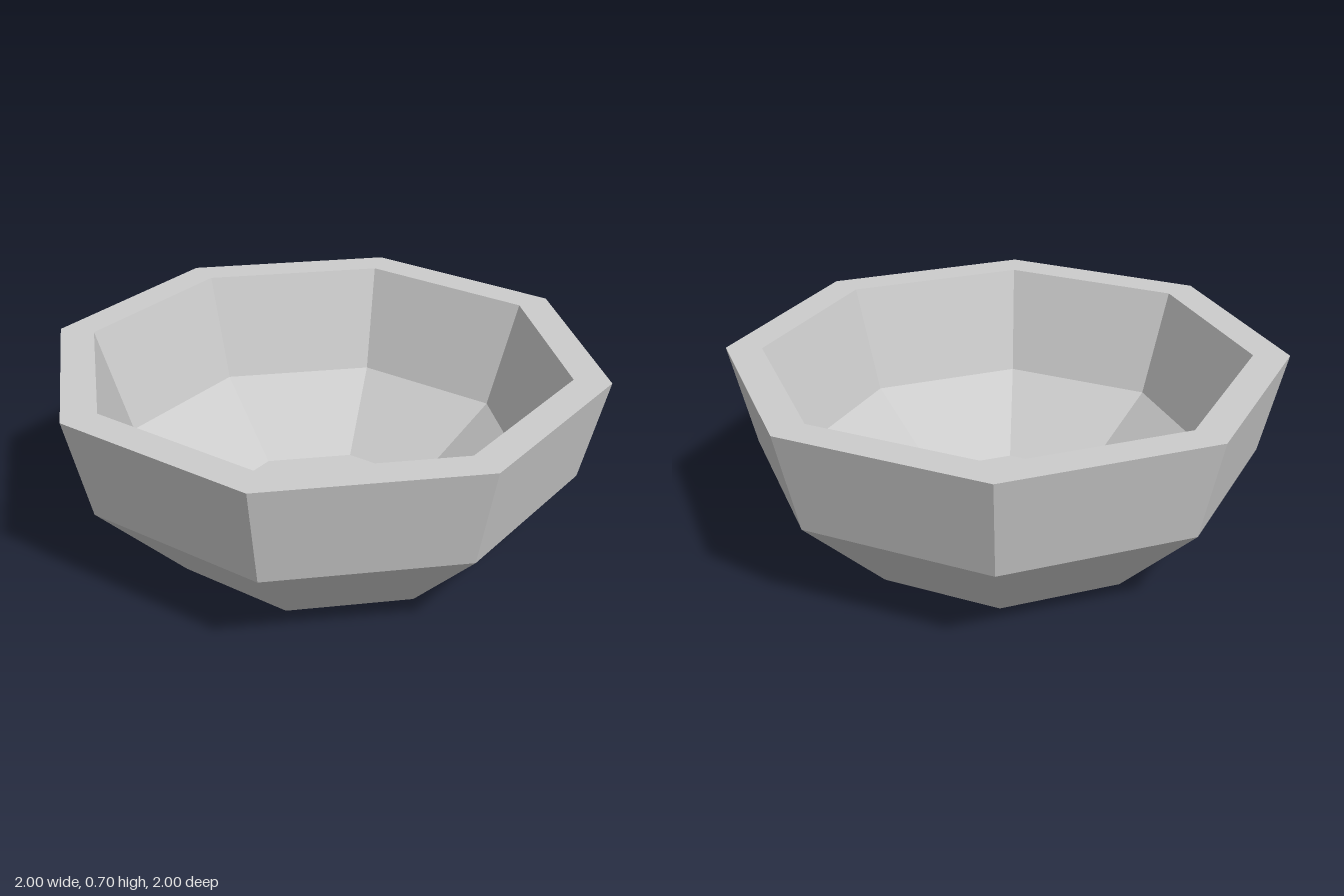
import * as THREE from 'three';

export function createModel() {
  const group = new THREE.Group();
  group.name = 'bowl';

  // closed wall section: underside, outer wall, rim, inner wall, floor
  const section = [
    [0, 0], [0.58, 0], [0.91, 0.33], [1, 0.7],
    [0.87, 0.7], [0.74, 0.315], [0.43, 0.07], [0, 0.07],
  ].map(([r, y]) => new THREE.Vector2(r, y));

  // eight-sided faceted shell with corners on the axes
  const shell = new THREE.Mesh(
    new THREE.LatheGeometry(section, 8),
    new THREE.MeshStandardMaterial({ color: 0xcccccc, flatShading: true }),
  );
  shell.name = 'bowlShell';
  group.add(shell);
  return group;
}
